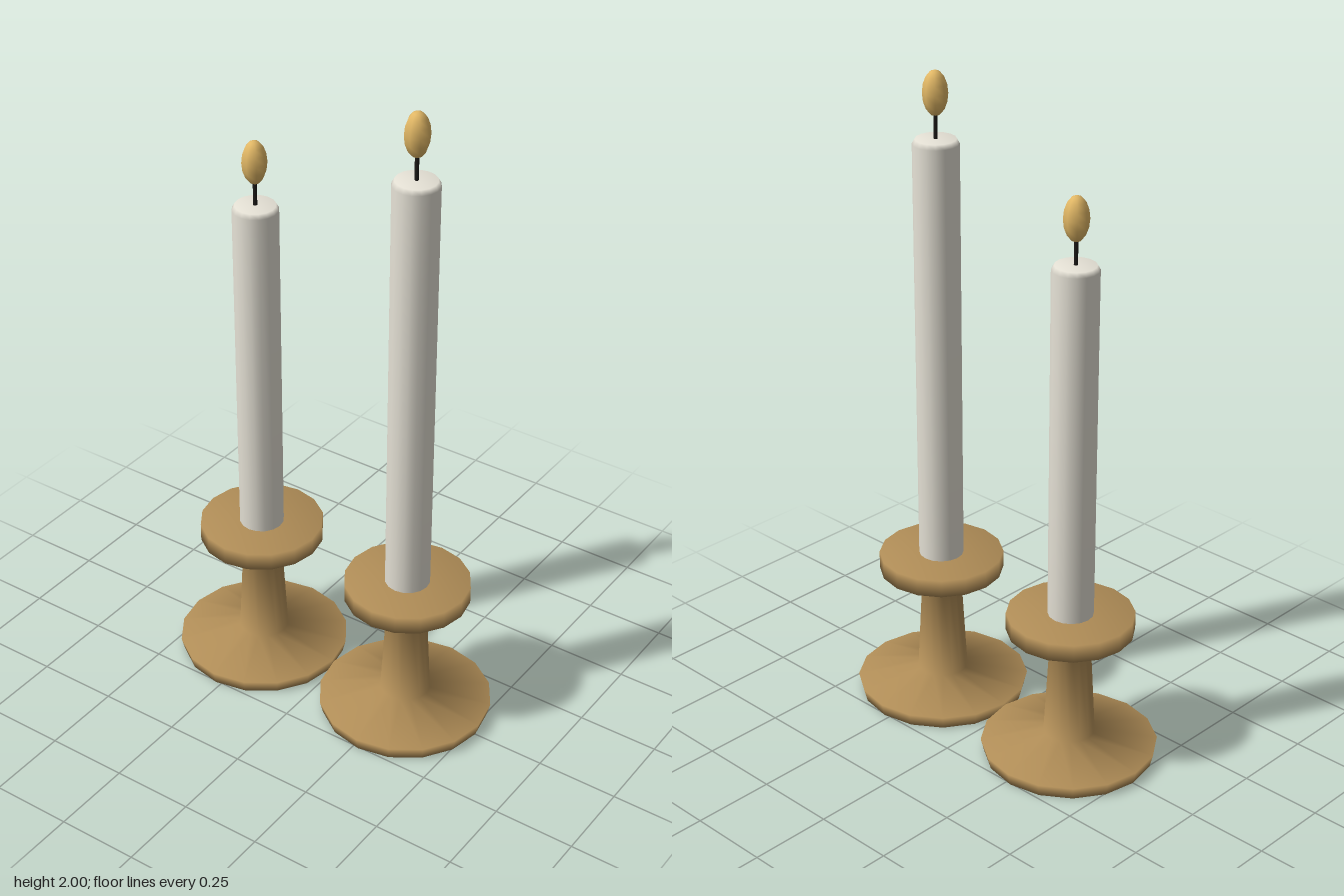
import * as THREE from 'three';

const brass = new THREE.MeshStandardMaterial({ name: 'brass', color: 0xb08d57 });
const wax = new THREE.MeshStandardMaterial({ name: 'wax', color: 0xe8e4d8 });
const wickBlack = new THREE.MeshStandardMaterial({ name: 'wickBlack', color: 0x1c1a18 });
const flameGold = new THREE.MeshStandardMaterial({ name: 'flameGold', color: 0xe2b866 });

function part(name, geometry, material, y = 0) {
  const mesh = new THREE.Mesh(geometry, material);
  mesh.name = name;
  mesh.position.y = y;
  return mesh;
}

// Turned solid from [radius, height] pairs, bottom to top
function turned(profile, sides) {
  return new THREE.LatheGeometry(profile.map(([r, y]) => new THREE.Vector2(r, y)), sides);
}

function candlestick(name, x, top) {
  const group = new THREE.Group();
  group.name = name;
  group.position.x = x;

  // Foot, tapering stem and drip pan in one turned piece
  group.add(part('holder', turned([
    [0, 0], [0.255, 0], [0.265, 0.04], [0.077, 0.075],
    [0.06, 0.385], [0.19, 0.422], [0.19, 0.477], [0, 0.477],
  ], 16), brass));

  // Candle with a softened upper rim
  group.add(part('candle', turned([
    [0, 0.47], [0.068, 0.47], [0.068, top - 0.014], [0.06, top], [0, top],
  ], 16), wax));

  group.add(part('wick', new THREE.CylinderGeometry(0.006, 0.006, 0.09, 6), wickBlack, top + 0.04));

  // Elongated flame
  const flame = part('flame', new THREE.SphereGeometry(1, 8, 8), flameGold, top + 0.133);
  flame.scale.set(0.037, 0.067, 0.037);
  group.add(flame);
  return group;
}

export function createModel() {
  const model = new THREE.Group();
  model.name = 'candlesticks';
  model.add(candlestick('leftCandlestick', 0.268, 1.8));
  model.add(candlestick('rightCandlestick', -0.268, 1.565));
  return model;
}
